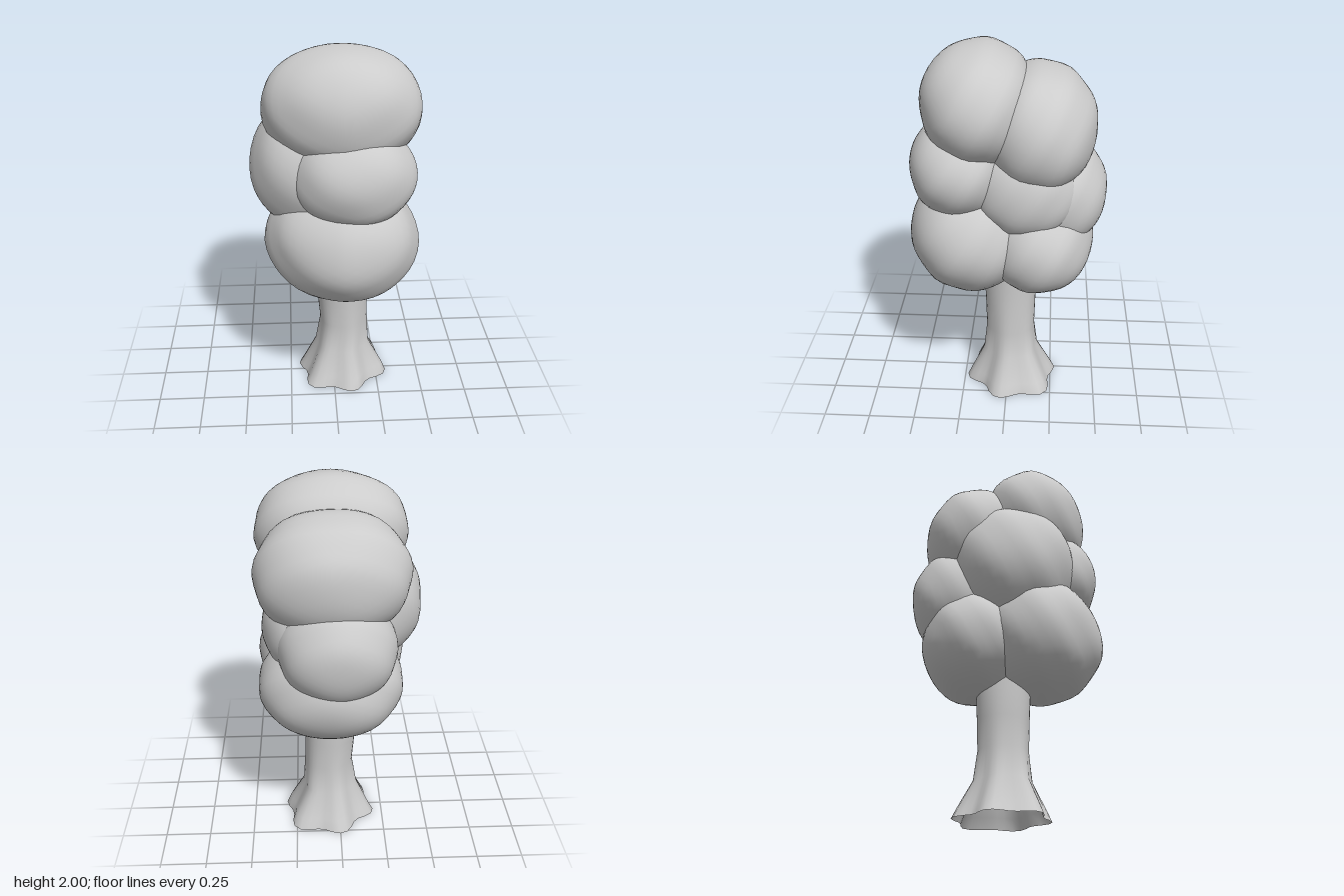
import * as THREE from 'three';
import { mergeVertices } from 'three/addons/utils/BufferGeometryUtils.js';

const leafMaterial = new THREE.MeshStandardMaterial({ color: 0xcccccc });
const trunkMaterial = new THREE.MeshStandardMaterial({ color: 0xcccccc, side: THREE.DoubleSide });

// Lumpy, very slightly boxy ellipsoid for one clump of leaves;
// chamfer pulls in its corner towards -x and +z
function foliageGeometry([rx, ry, rz], chamfer, seed) {
  let g = new THREE.IcosahedronGeometry(1, 7);
  g.deleteAttribute('uv');
  g.deleteAttribute('normal');
  g = mergeVertices(g, 1e-4);
  const p = g.attributes.position;
  const v = new THREE.Vector3();
  const power = 2.08;
  for (let i = 0; i < p.count; i++) {
    v.fromBufferAttribute(p, i).normalize();
    const norm = Math.pow(
      Math.abs(v.x) ** power + Math.abs(v.y) ** power + Math.abs(v.z) ** power, 1 / power);
    const lump = 1
      + 0.012 * Math.sin(5 * v.x + seed * 2.1) * Math.cos(4 * v.y + seed)
      + 0.01 * Math.sin(9 * v.z + 6 * v.y + seed * 3.7)
      - chamfer * Math.max(0, -v.x) * Math.max(0, v.z);
    v.multiplyScalar(lump / norm);
    p.setXYZ(i, v.x * rx, v.y * ry, v.z * rz);
  }
  g.computeVertexNormals();
  return g;
}

// Hollow trunk: round column, slightly bent, flaring into pointed roots
function trunkGeometry() {
  const levels = [ // y, radius, root depth, x offset
    [0, 0.24, 0.11, 0.05], [0.06, 0.215, 0.1, 0.055], [0.2, 0.15, 0.05, 0.052],
    [0.36, 0.135, 0.015, 0.062], [0.52, 0.14, 0.01, 0.052], [0.66, 0.146, 0, 0.048],
    [0.85, 0.15, 0, 0.05],
  ];
  const sides = 36;
  const pos = [];
  const index = [];
  levels.forEach(([y, r, root, ox], row) => {
    for (let i = 0; i < sides; i++) {
      const a = (i / sides) * Math.PI * 2;
      const b = a + Math.PI / 4; // the largest root points to +x, -z
      const rr = r * (1 + root * (Math.cos(6 * b) + 0.4 * Math.cos(2 * b) + 0.4 * Math.cos(b)));
      pos.push(ox + rr * Math.cos(a), y, -0.015 + rr * Math.sin(a));
      if (row === 0) continue;
      const j = (i + 1) % sides;
      const a0 = (row - 1) * sides + i, b0 = (row - 1) * sides + j;
      const a1 = row * sides + i, b1 = row * sides + j;
      index.push(a0, a1, b0, b0, a1, b1);
    }
  });
  const g = new THREE.BufferGeometry();
  g.setAttribute('position', new THREE.Float32BufferAttribute(pos, 3));
  g.setIndex(index);
  g.computeVertexNormals();
  return g;
}

export function createModel() {
  const tree = new THREE.Group();
  tree.name = 'tree';

  const trunk = new THREE.Mesh(trunkGeometry(), trunkMaterial);
  trunk.name = 'trunk';
  tree.add(trunk);

  // Leaf clumps: name, centre, radii, corner chamfer
  const clumps = [
    ['foliageTopFront', [0.035, 1.69, 0.15], [0.405, 0.31, 0.3], 0.12],
    ['foliageTopBack', [0.04, 1.565, -0.165], [0.4, 0.325, 0.295], 0],
    ['foliageMiddleFront', [0.09, 1.365, 0.25], [0.32, 0.265, 0.26], 0],
    ['foliageMiddleBack', [0.02, 1.2, -0.25], [0.31, 0.3, 0.275], 0],
    ['foliageMiddleRight', [-0.075, 1.345, 0.04], [0.365, 0.365, 0.34], 0],
    ['foliageMiddleLeft', [0.17, 1.27, -0.1], [0.24, 0.26, 0.28], 0],
    ['foliageBottomFront', [0.035, 0.975, 0.19], [0.405, 0.33, 0.34], 0.18],
    ['foliageBottomBack', [0.05, 0.945, -0.165], [0.385, 0.3, 0.295], 0],
  ];
  const foliage = new THREE.Group();
  foliage.name = 'foliage';
  clumps.forEach(([name, centre, radii, chamfer], i) => {
    const clump = new THREE.Mesh(foliageGeometry(radii, chamfer, i + 1), leafMaterial);
    clump.name = name;
    clump.position.set(...centre);
    foliage.add(clump);
  });
  tree.add(foliage);
  return tree;
}
